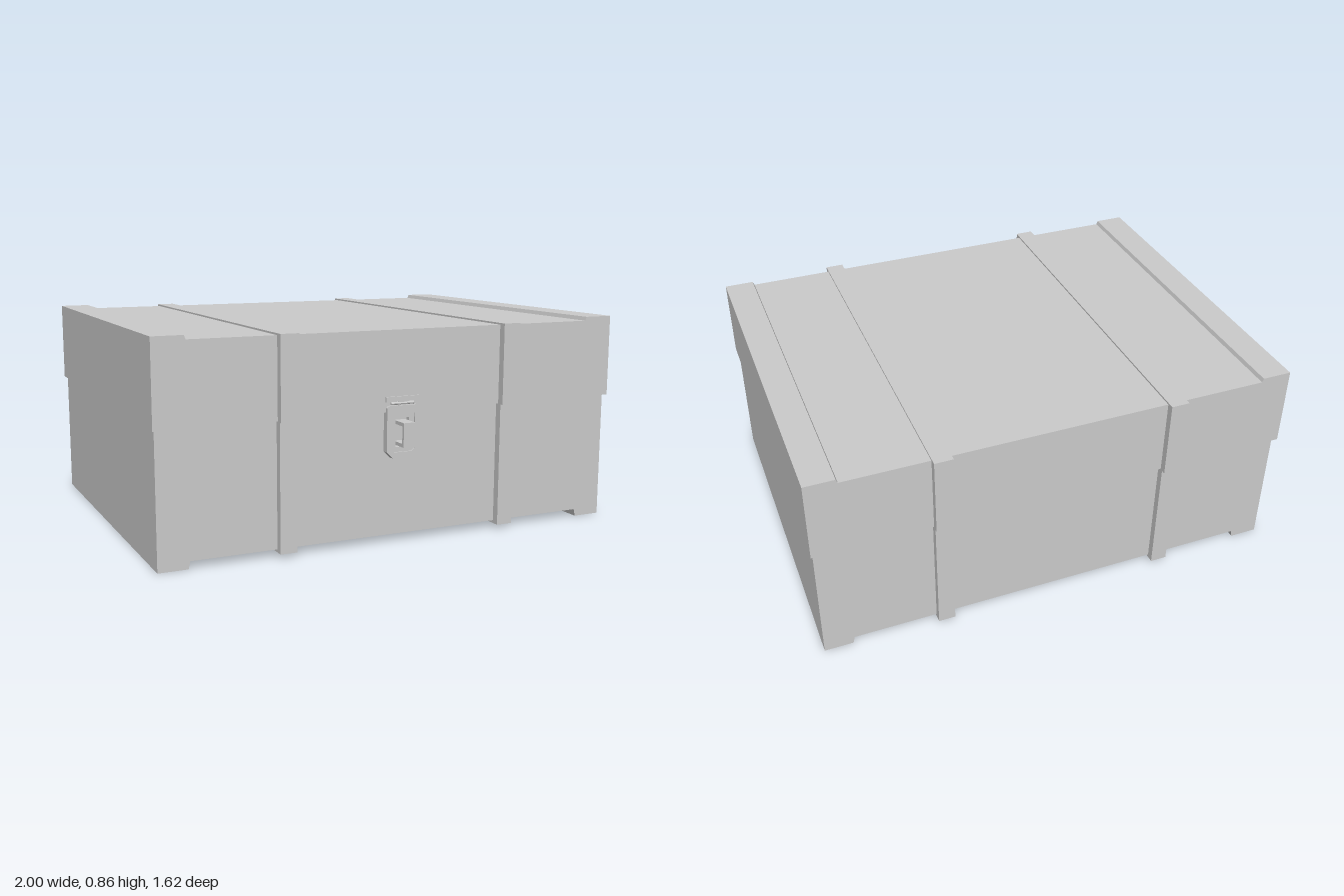
import * as THREE from 'three';

const material = new THREE.MeshStandardMaterial({ color: 0xcccccc, flatShading: true });

function add(parent, name, geometry) {
  const mesh = new THREE.Mesh(geometry, material);
  mesh.name = name;
  parent.add(mesh);
  return mesh;
}

// Box given by its limits on each axis
function box(x0, x1, y0, y1, z0, z1) {
  return new THREE.BoxGeometry(x1 - x0, y1 - y0, z1 - z0)
    .translate((x0 + x1) / 2, (y0 + y1) / 2, (z0 + z1) / 2);
}

// Outline in x-y, extruded from z0 to z1
function slab(points, z0, z1, hole) {
  const shape = new THREE.Shape(points.map(([x, y]) => new THREE.Vector2(x, y)));
  if (hole) shape.holes.push(new THREE.Path(hole.map(([x, y]) => new THREE.Vector2(x, y))));
  return new THREE.ExtrudeGeometry(shape, { depth: z1 - z0, bevelEnabled: false }).translate(0, 0, z0);
}

// Rectangle with bevelled lower corners
const plate = (w, y0, y1, c) => [
  [-w + c, y0], [w - c, y0], [w, y0 + c], [w, y1 - c / 3],
  [w - c / 3, y1], [-w + c / 3, y1], [-w, y1 - c / 3], [-w, y0 + c],
];

export function createModel() {
  const chest = new THREE.Group();
  chest.name = 'chest';

  // Lower box with a raised runner along each side of its underside
  add(chest, 'base', slab([
    [-0.99, 0], [-0.872, 0], [-0.865, 0.03], [0.865, 0.03], [0.872, 0], [0.99, 0],
    [0.99, 0.53], [-0.99, 0.53],
  ], -0.755, 0.726));

  // Overhanging lid with a raised border along each side
  add(chest, 'lid', slab([
    [-1, 0.527], [1, 0.527], [1, 0.864], [0.877, 0.864], [0.871, 0.848],
    [-0.871, 0.848], [-0.877, 0.864], [-1, 0.864],
  ], -0.778, 0.745));

  // Straps wrapping around the lid and the base
  for (const side of [-1, 1]) {
    const x = side * 0.485;
    add(chest, 'lidStrap', box(x - 0.038, x + 0.038, 0.525, 0.855, -0.808, 0.776));
    add(chest, 'baseStrap', box(x - 0.035, x + 0.035, 0.018, 0.526, -0.785, 0.757));
  }

  // Hasp clasp on the front
  const clasp = new THREE.Group();
  clasp.name = 'clasp';
  chest.add(clasp);
  add(clasp, 'haspRim', slab(plate(0.07, 0.345, 0.553, 0.025), 0.728, 0.756,
    [[-0.053, 0.38], [-0.053, 0.52], [0.053, 0.52], [0.053, 0.38], [0.04, 0.368], [-0.04, 0.368]]));
  add(clasp, 'haspPanel', slab(plate(0.056, 0.365, 0.525, 0.014), 0.728, 0.75,
    [[-0.03, 0.388], [-0.03, 0.503], [0.03, 0.503], [0.03, 0.388]]));
  add(clasp, 'haspNeck', box(-0.02, 0.02, 0.55, 0.57, 0.74, 0.752));
  add(clasp, 'hingePlate', box(-0.073, 0.073, 0.568, 0.588, 0.74, 0.752));
  const pin = add(clasp, 'hingePin', new THREE.CylinderGeometry(0.006, 0.006, 0.1, 8));
  pin.rotation.z = Math.PI / 2;
  pin.position.set(0, 0.561, 0.748);

  // Square staple loop for a padlock, open from side to side
  add(clasp, 'stapleFront', box(-0.025, 0.025, 0.395, 0.492, 0.796, 0.808));
  add(clasp, 'stapleTop', box(-0.025, 0.025, 0.478, 0.492, 0.72, 0.797));
  add(clasp, 'stapleBottom', box(-0.025, 0.025, 0.395, 0.409, 0.72, 0.797));

  return chest;
}
